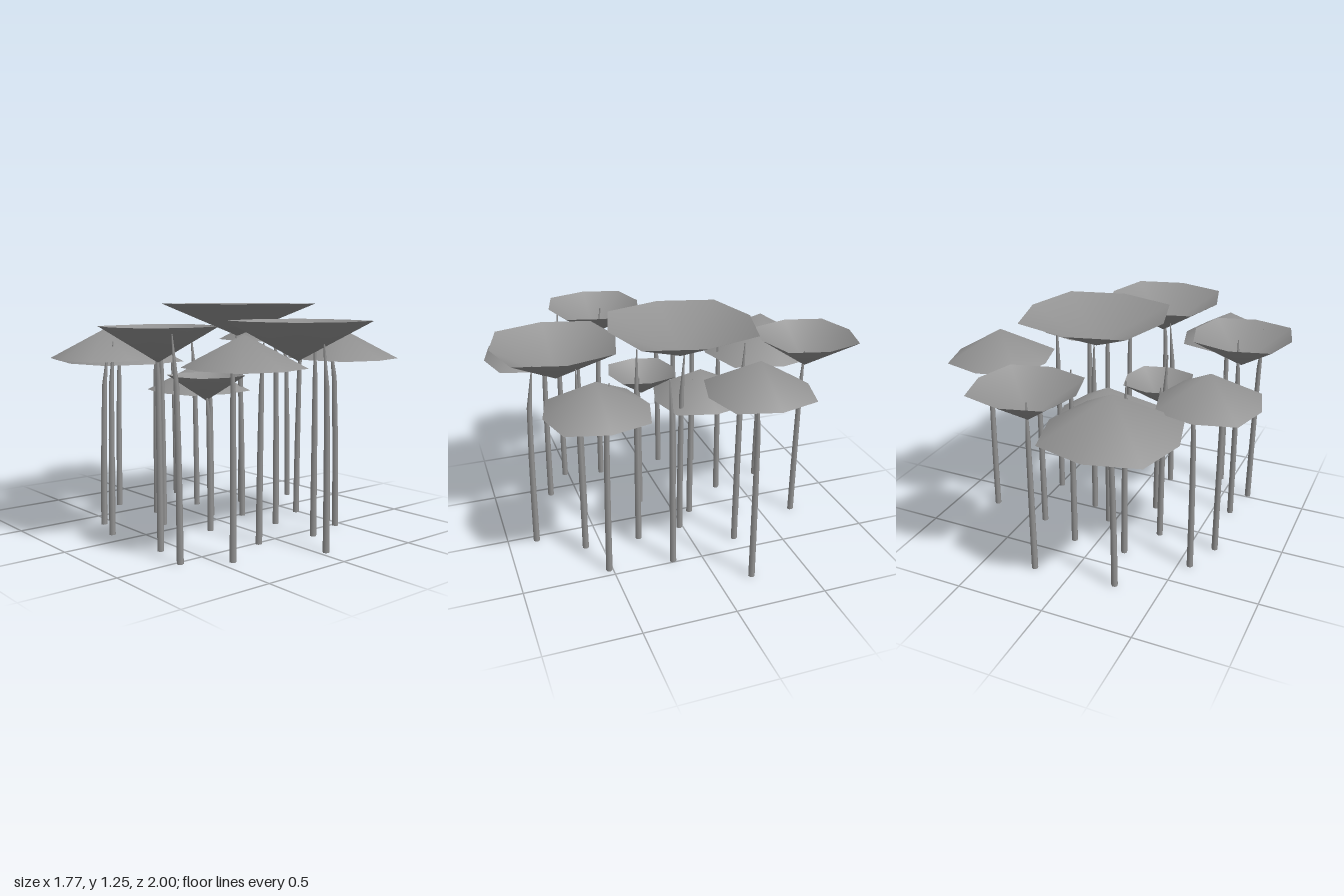
import * as THREE from 'three';
import { mergeVertices } from 'three/addons/utils/BufferGeometryUtils.js';

const leafMaterial = new THREE.MeshStandardMaterial({ color: 0x939393, side: THREE.DoubleSide });
const trunkMaterial = new THREE.MeshStandardMaterial({ color: 0x939393 });

// Canopies: x, z, radius, rim height, tip height (tip below rim = upturned bowl)
const canopies = [
  [-0.24, -0.64, 0.35, 0.905, 1.11],
  [0.18, -0.73, 0.272, 1.11, 0.93],
  [-0.60, -0.235, 0.273, 0.96, 1.12],
  [-0.61, 0.29, 0.273, 1.15, 0.97],
  [0.61, -0.25, 0.273, 1.025, 1.185],
  [0.15, 0.005, 0.398, 1.255, 1.07],
  [0.0, 0.66, 0.337, 1.175, 0.97],
  [0.445, 0.548, 0.273, 0.96, 1.12],
  [-0.41, 0.713, 0.273, 0.96, 1.12],
  [-0.18, 0.13, 0.194, 0.87, 0.73],
  [0.0, -0.17, 0.273, 0.75, 0.91],
];

// Trunks: base x, base z, tip x, tip z, tip height
const trunks = [
  [-0.65, 0.52, -0.675, 0.50, 1.12],
  [-0.43, 0.66, -0.41, 0.625, 1.08],
  [-0.605, 0.29, -0.595, 0.255, 1.13],
  [0.04, 0.84, 0.05, 0.79, 1.08],
  [-0.13, 0.515, -0.10, 0.51, 1.07],
  [0.20, 0.59, 0.19, 0.59, 1.09],
  [0.21, 0.28, 0.20, 0.265, 1.16],
  [0.45, 0.52, 0.42, 0.475, 1.09],
  [0.485, 0.165, 0.495, 0.185, 1.10],
  [0.18, 0.02, 0.155, -0.015, 1.09],
  [0.13, -0.36, 0.11, -0.39, 1.08],
  [-0.18, -0.355, -0.185, -0.345, 1.05],
  [-0.255, -0.655, -0.22, -0.67, 1.05],
  [0.39, -0.24, 0.39, -0.25, 1.04],
  [0.21, -0.69, 0.19, -0.72, 1.02],
  [0.75, -0.19, 0.71, -0.20, 1.07],
  [0.035, -0.095, 0.03, -0.11, 0.87],
  [-0.30, -0.11, -0.32, -0.11, 1.13],
  [-0.565, -0.33, -0.53, -0.31, 1.03],
  [-0.64, -0.12, -0.63, -0.095, 1.06],
  [-0.17, 0.155, -0.19, 0.14, 0.82],
];

// Eight-sided cone shell, smooth over its tip; diagonal corners reach further out
function makeCanopy([x, z, radius, rim, tip]) {
  const cone = new THREE.ConeGeometry(radius, Math.abs(tip - rim), 8, 1, true);
  const p = cone.attributes.position;
  for (let i = 0; i < p.count; i++) {
    const px = p.getX(i), pz = p.getZ(i);
    const k = Math.abs(px * pz) > 1e-4 ? 1.115 : 1;
    p.setXYZ(i, px * k, p.getY(i), pz * k);
  }
  cone.deleteAttribute('normal');
  cone.deleteAttribute('uv');
  const geometry = mergeVertices(cone);
  geometry.computeVertexNormals();
  const mesh = new THREE.Mesh(geometry, leafMaterial);
  mesh.position.set(x, (rim + tip) / 2, z);
  if (tip < rim) mesh.rotation.x = Math.PI;
  mesh.name = tip < rim ? 'upturnedCanopy' : 'canopy';
  return mesh;
}

// Tapered trunk that leans slightly and bends towards its pointed tip
function makeTrunk([x, z, tipX, tipZ, height]) {
  const geometry = new THREE.CylinderGeometry(1, 1, 1, 7, 4);
  geometry.translate(0, 0.5, 0);
  const radii = [0.018, 0.0172, 0.016, 0.0138, 0.003];
  const levels = [0, 0.25, 0.5, 0.78, 1];
  const lean = [0, 0.08, 0.2, 0.4, 1];
  const p = geometry.attributes.position;
  for (let i = 0; i < p.count; i++) {
    const k = Math.round(p.getY(i) * 4);
    p.setXYZ(i,
      x + (tipX - x) * lean[k] + p.getX(i) * radii[k],
      levels[k] * height,
      z + (tipZ - z) * lean[k] + p.getZ(i) * radii[k]);
  }
  const mesh = new THREE.Mesh(geometry, trunkMaterial);
  mesh.name = 'trunk';
  return mesh;
}

export function createModel() {
  const model = new THREE.Group();
  model.name = 'treeCluster';
  const crown = new THREE.Group();
  crown.name = 'canopies';
  canopies.forEach((c) => crown.add(makeCanopy(c)));
  const stems = new THREE.Group();
  stems.name = 'trunks';
  trunks.forEach((t) => stems.add(makeTrunk(t)));
  model.add(crown, stems);
  return model;
}
